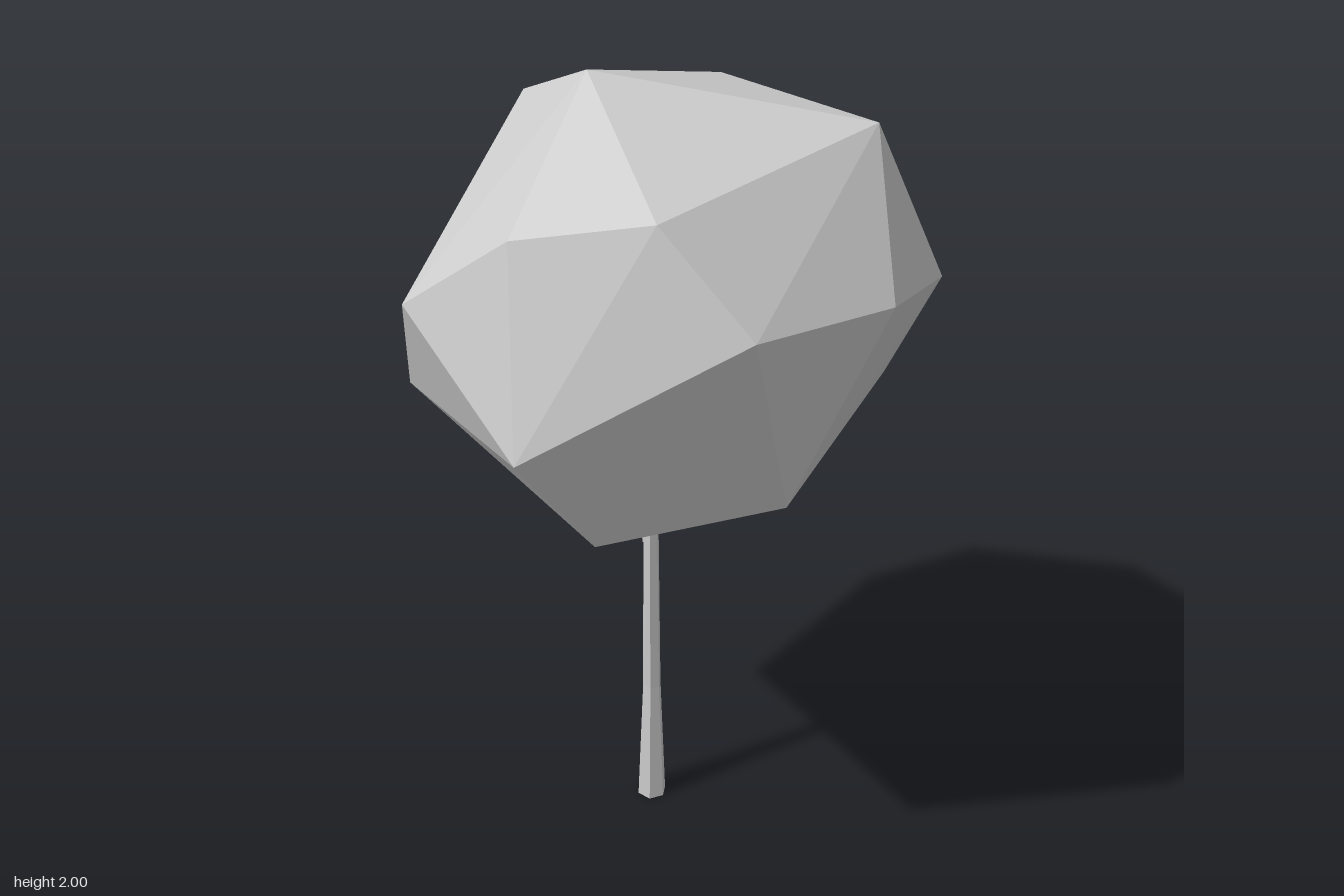
import * as THREE from 'three';
import { ConvexGeometry } from 'three/addons/geometries/ConvexGeometry.js';

const material = new THREE.MeshStandardMaterial({ color: 0xcccccc, flatShading: true });

// Capped six-sided stem through level rings [x, y, z, radius], listed bottom to top
function stem(name, rings) {
  const steps = rings.length - 1;
  const geometry = new THREE.CylinderGeometry(1, 1, 1, 6, steps);
  const pos = geometry.attributes.position;
  for (let i = 0; i < pos.count; i++) {
    const [x, y, z, r] = rings[Math.round((pos.getY(i) + 0.5) * steps)];
    pos.setXYZ(i, x + pos.getX(i) * r, y, z + pos.getZ(i) * r);
  }
  geometry.computeVertexNormals();
  const mesh = new THREE.Mesh(geometry, material);
  mesh.name = name;
  return mesh;
}

export function createModel() {
  const tree = new THREE.Group();
  tree.name = 'tree';

  // Faceted crown: the hull around a few corners
  const corners = [
    // upper corners
    [-0.13, 2.0, -0.09], [-0.01, 1.87, -0.38], [0.26, 1.91, -0.03],
    [0.19, 1.91, 0.43], [-0.4, 1.84, 0.31], [-0.53, 1.78, 0.04],
    // corners around the widest part
    [-0.55, 1.57, -0.25], [0.16, 1.43, -0.605], [0.38, 1.6, -0.49],
    [0.63, 1.565, -0.02], [0.51, 1.455, 0.43], [0.01, 1.605, 0.605],
    [-0.35, 1.63, 0.515], [-0.635, 1.35, 0.13],
    // lower corners
    [-0.29, 1.2, -0.52], [0.54, 1.175, -0.415], [-0.18, 1.175, 0.485],
    [0.515, 1.165, 0.29], [-0.46, 1.1, 0.19], [0.15, 1.11, -0.45],
    [0.25, 1.073, -0.12], [0, 1.055, 0.22],
  ];
  const crown = new THREE.Mesh(
    new ConvexGeometry(corners.map((c) => new THREE.Vector3(...c))), material);
  crown.name = 'crown';
  tree.add(crown);

  // Slim trunk flaring at the foot, with a thin fork under the crown
  tree.add(stem('trunk', [
    [0.037, 0, -0.054, 0.038],
    [0.038, 0.35, -0.054, 0.024],
    [0.036, 0.82, -0.054, 0.02],
    [0.049, 1.14, -0.052, 0.013],
  ]));
  tree.add(stem('branch', [
    [0.032, 0.78, -0.06, 0.014],
    [0.019, 0.92, -0.077, 0.011],
    [-0.006, 1.13, -0.107, 0.007],
  ]));

  return tree;
}
